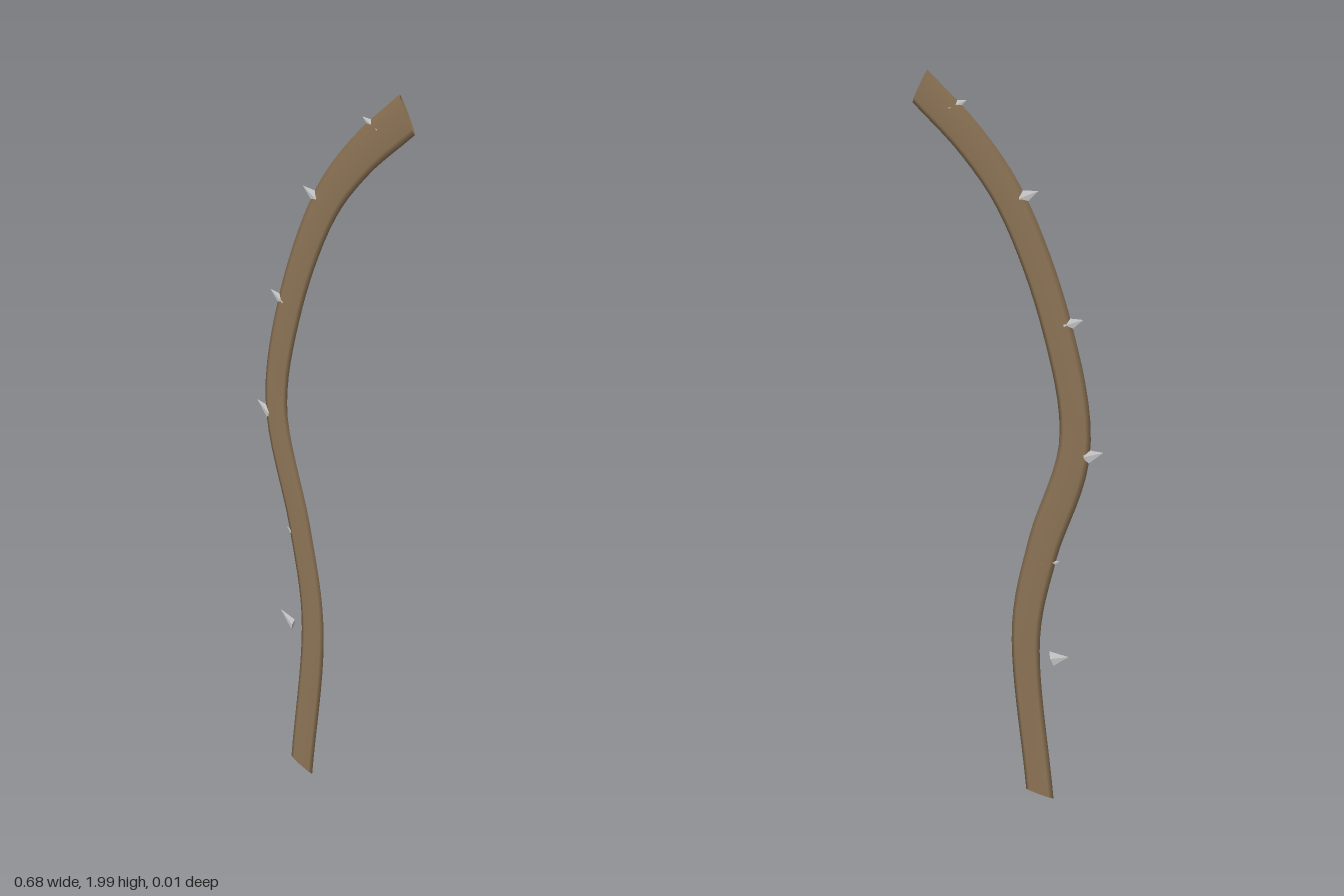
import * as THREE from 'three';

export function createModel() {
  const group = new THREE.Group();
  const bark = new THREE.MeshStandardMaterial({ color: 0x8b7355, side: THREE.DoubleSide });
  const grey = new THREE.MeshStandardMaterial({ color: 0xcccccc, flatShading: true });

  // Flattened winding stem, open at both ends
  const path = new THREE.CatmullRomCurve3([
    [-0.132, 0.014], [-0.075, 0.5], [-0.133, 0.77], [-0.243, 1.1],
    [-0.175, 1.4], [-0.02, 1.69], [0.125, 1.832], [0.31, 1.955],
  ].map(([x, y]) => new THREE.Vector3(x, y, 0)));
  const stemGeometry = new THREE.TubeGeometry(path, 48, 0.053, 8, false);
  stemGeometry.scale(1, 1, 0.0045 / 0.053);
  const stem = new THREE.Mesh(stemGeometry, bark);
  stem.name = 'stem';
  group.add(stem);

  // Flattened thorns, all pointing the same way; each entry is a tip position
  const length = 0.068;
  const thornGeometry = new THREE.ConeGeometry(0.021, length, 4);
  thornGeometry.translate(0, -length / 2, 0);
  thornGeometry.scale(1, 1, 0.2);
  const tips = [
    [-0.233, 0.484], [-0.197, 0.755], [-0.339, 1.098],
    [-0.265, 1.431], [-0.111, 1.733], [0.138, 1.934],
  ];
  tips.forEach(([x, y], i) => {
    const thorn = new THREE.Mesh(thornGeometry, grey);
    thorn.name = `thorn${i + 1}`;
    thorn.position.set(x, y, 0);
    thorn.rotation.z = 1.17;
    group.add(thorn);
  });
  return group;
}
